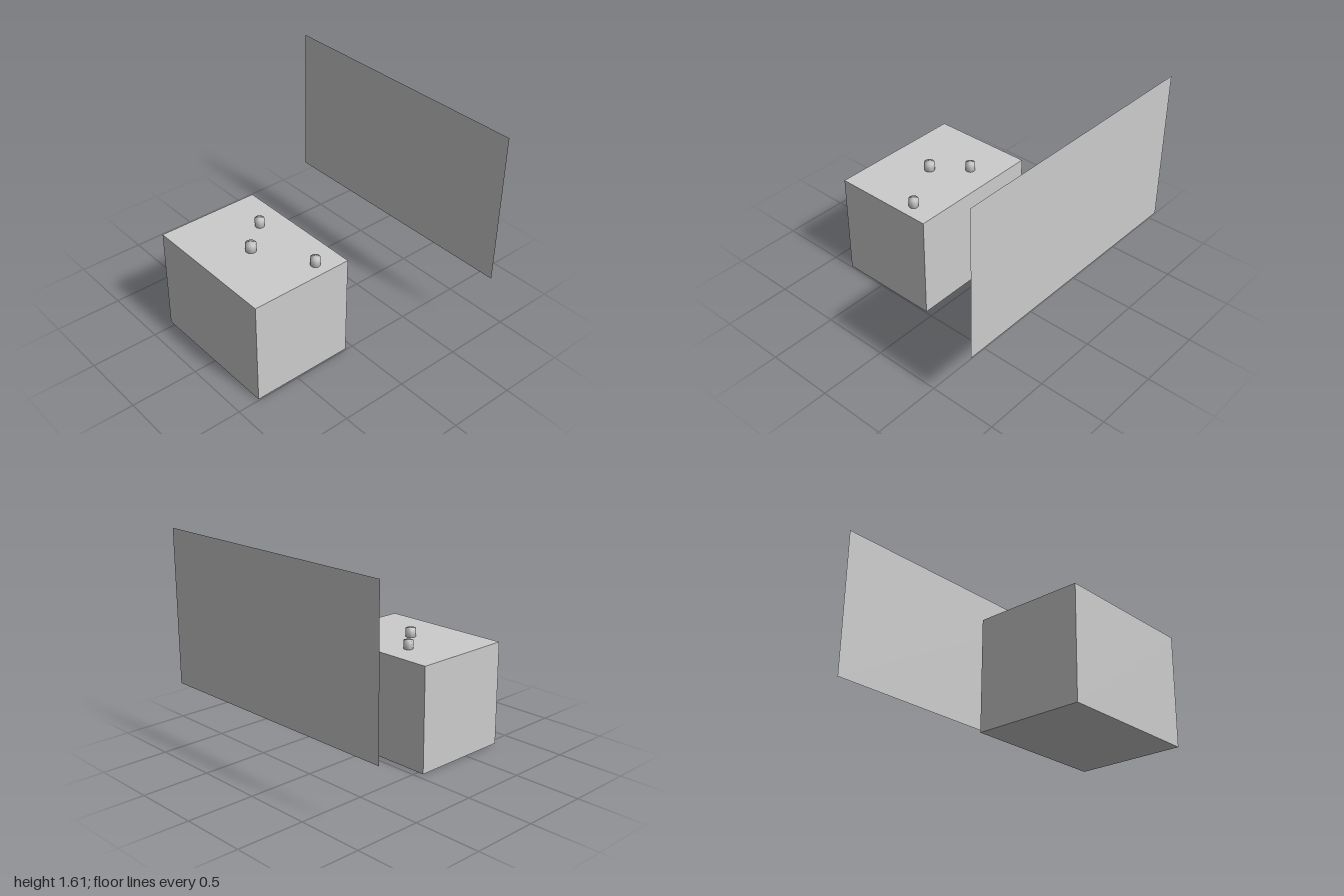
import * as THREE from 'three';
import { mergeVertices } from 'three/addons/utils/BufferGeometryUtils.js';

export function createModel() {
  const model = new THREE.Group();
  const grey = new THREE.MeshStandardMaterial({ color: 0xcccccc, side: THREE.DoubleSide });
  grey.name = 'plainGrey';

  function add(name, geometry, x, y, z) {
    const mesh = new THREE.Mesh(geometry, grey);
    mesh.name = name;
    mesh.position.set(x, y, z);
    model.add(mesh);
  }

  // Solid block standing on the ground
  add('block', new THREE.BoxGeometry(1.036, 0.78, 0.775), -0.027, 0.39, 0.4425);

  // Flat panel hanging behind the block
  add('backPanel', new THREE.PlaneGeometry(2, 1.125), 0, 1.0475, -0.83);

  // Small pegs on top, with normals shared between side and caps
  const pegs = [
    ['rightPeg', -0.202, 0.254, 0.034],
    ['middlePeg', -0.012, 0.477, 0.038],
    ['leftPeg', 0.385, 0.248, 0.034],
  ];
  for (const [name, x, z, radius] of pegs) {
    let geometry = new THREE.CylinderGeometry(radius, radius, 0.062, 32);
    geometry.deleteAttribute('normal');
    geometry.deleteAttribute('uv');
    geometry = mergeVertices(geometry, 1e-5);
    geometry.computeVertexNormals();
    add(name, geometry, x, 0.811, z);
  }
  return model;
}
